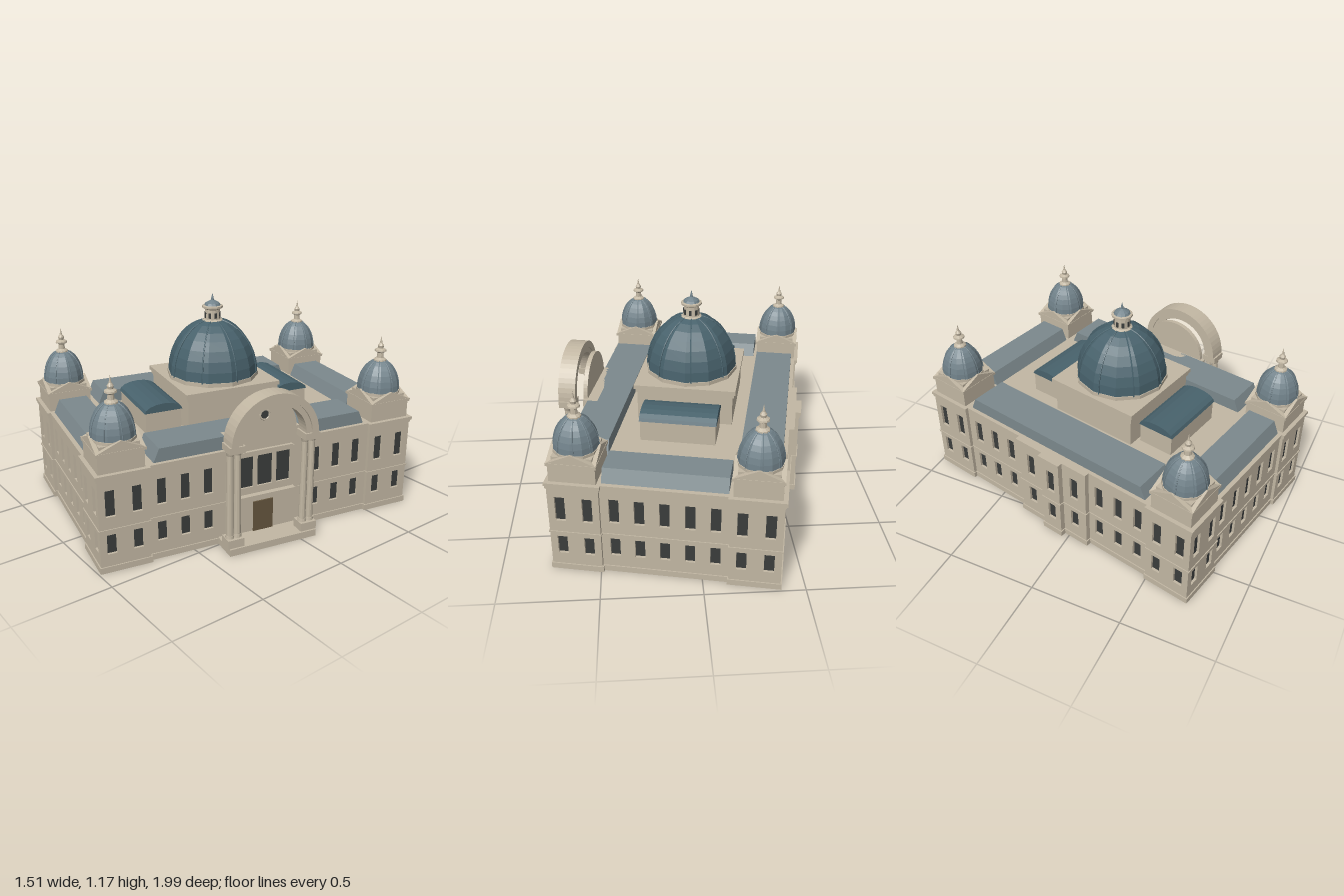
import * as THREE from 'three';

const mat = (color, extra = {}) => new THREE.MeshStandardMaterial({ color, flatShading: true, ...extra });
const stone = mat(0xc2b7a3), slate = mat(0x7c898d), domeGrey = mat(0x71828a);
const domeBlue = mat(0x48626c), glass = mat(0x3a3d3c), wood = mat(0x65563e);

const TOP = 0.515;                                  // height of the main cornice
const ROWS = [[0.097, 0.2], [0.295, 0.433]];        // window rows
const WIN = 0.05, WALL = 0.014, BAY = 0.124;

function add(parent, name, geometry, material, x = 0, y = 0, z = 0) {
  const mesh = new THREE.Mesh(geometry, material);
  mesh.name = name;
  mesh.position.set(x, y, z);
  parent.add(mesh);
  return mesh;
}

function group(parent, name, x = 0, y = 0, z = 0) {
  const g = new THREE.Group();
  g.name = name;
  g.position.set(x, y, z);
  parent.add(g);
  return g;
}

// Box given by half sizes and bottom/top heights
function slab(parent, name, hx, hz, y0, y1, material = stone, x = 0, z = 0) {
  return add(parent, name, new THREE.BoxGeometry(hx * 2, y1 - y0, hz * 2), material, x, (y0 + y1) / 2, z);
}

// Wall plate with window openings
function facade(half, offsets) {
  const s = new THREE.Shape([[-half, 0], [half, 0], [half, TOP - 0.01], [-half, TOP - 0.01]].map(p => new THREE.Vector2(...p)));
  for (const o of offsets) for (const [a, b] of ROWS) {
    const w = WIN / 2;
    s.holes.push(new THREE.Path([[o - w, a], [o - w, b], [o + w, b], [o + w, a]].map(p => new THREE.Vector2(...p))));
  }
  return new THREE.ExtrudeGeometry(s, { depth: WALL, bevelEnabled: false });
}

// Storeyed block: dark core behind pierced walls, with bands; sides run +z, +x, -z, -x
function block(parent, name, x, z, hx, hz, sides) {
  const g = group(parent, name, x, 0, z);
  slab(g, 'windowPanes', hx - WALL, hz - WALL, 0.01, TOP - 0.02, glass);
  sides.forEach((offsets, k) => {
    const across = k % 2 ? hz : hx, out = k % 2 ? hx : hz;
    const pivot = group(g, 'facade');
    pivot.rotation.y = k * Math.PI / 2;
    add(pivot, 'wall', facade(across, offsets), stone, 0, 0, out - WALL);
  });
  for (const [bandName, y0, y1, e] of [['base', 0, 0.032, 0.006], ['stringCourse', 0.222, 0.231, 0.005],
    ['lowerCornice', 0.484, 0.499, 0.005], ['cornice', 0.499, TOP, 0.01]]) {
    slab(g, bandName, hx + e, hz + e, y0, y1);
  }
  return g;
}

// Flat-topped roof whose two z ends slope
function roof(parent, x, z, hx, hz) {
  const m = slab(parent, 'wingRoof', hx, hz, TOP, 0.585, slate, x, z);
  const p = m.geometry.attributes.position;
  for (let i = 0; i < p.count; i++) if (p.getY(i) > 0) p.setZ(i, p.getZ(i) - Math.sign(p.getZ(i)) * 0.03);
  m.geometry.computeVertexNormals();
}

const lathe = (pts, n) => new THREE.LatheGeometry(pts.map(p => new THREE.Vector2(...p)), n);

// Ribbed dome with an elliptical profile
function dome(parent, r, h, material, ribR, y) {
  const pts = [];
  for (let i = 0; i <= 8; i++) {
    const a = i / 8 * Math.PI / 2;
    pts.push([Math.max(r * Math.cos(a), 0.0001), h * Math.sin(a)]);
  }
  add(parent, 'dome', lathe(pts, 12), material, 0, y, 0);
  const curve = new THREE.CatmullRomCurve3(pts.map(p => new THREE.Vector3(p[0] * 0.985, p[1] * 0.995, 0)));
  const ribGeo = new THREE.TubeGeometry(curve, 14, ribR, 5);
  for (let k = 0; k < 8; k++) add(parent, 'domeRib', ribGeo, material, 0, y, 0).rotation.y = k * Math.PI / 4 + 0.13;
}

function cornerTower(parent, sx, sz) {
  const o = [-0.0675, 0.0675];
  const g = block(parent, 'cornerTower', sx * 0.443, sz * 0.757, 0.128, 0.128,
    [sz > 0 ? o : [], sx > 0 ? o : [], sz < 0 ? o : [], sx < 0 ? o : []]);
  slab(g, 'attic', 0.116, 0.116, TOP, 0.61);
  slab(g, 'atticCornice', 0.124, 0.124, 0.605, 0.62);
  slab(g, 'domePlinth', 0.1, 0.1, 0.62, 0.645);
  // Pediment on each side
  const tri = new THREE.Shape([new THREE.Vector2(-0.12, 0), new THREE.Vector2(0.12, 0), new THREE.Vector2(0, 0.052)]);
  const pedGeo = new THREE.ExtrudeGeometry(tri, { depth: 0.022, bevelEnabled: false });
  for (let k = 0; k < 4; k++) {
    const pivot = group(g, 'pedimentSide');
    pivot.rotation.y = k * Math.PI / 2;
    add(pivot, 'pediment', pedGeo, stone, 0, 0.619, 0.1);
  }
  add(g, 'drum', new THREE.CylinderGeometry(0.117, 0.117, 0.045, 12), stone, 0, 0.6375, 0);
  dome(g, 0.113, 0.168, domeGrey, 0.003, 0.658);
  add(g, 'finial', lathe([[0.036, 0.808], [0.034, 0.824], [0.018, 0.834], [0.016, 0.86], [0.032, 0.87], [0.03, 0.878],
    [0.014, 0.886], [0.017, 0.9], [0.007, 0.915], [0.0001, 0.952]], 10), stone);
}

// Arched band or half disc facing +x
function archPiece(parent, name, outer, inner, x, depth, y) {
  const s = new THREE.Shape();
  s.absarc(0, 0, outer, 0, Math.PI, false);
  if (inner) s.absarc(0, 0, inner, Math.PI, 0, true);
  s.closePath();
  const geo = new THREE.ExtrudeGeometry(s, { depth, bevelEnabled: false, curveSegments: 14 });
  add(parent, name, geo, stone, x, y, 0).rotation.y = Math.PI / 2;
}

function portico(parent) {
  const g = group(parent, 'portico', 0, 0, 0.012);
  slab(g, 'platform', 0.09, 0.247, 0, 0.037, stone, 0.606);
  slab(g, 'entranceWall', 0.04, 0.205, 0.01, 0.585, stone, 0.528);
  slab(g, 'door', 0.01, 0.056, 0.037, 0.205, wood, 0.566);
  // Balcony window with three lights
  slab(g, 'balcony', 0.025, 0.165, 0.245, 0.262, stone, 0.588);
  slab(g, 'windowBack', 0.008, 0.155, 0.262, 0.48, glass, 0.566);
  slab(g, 'windowSill', 0.012, 0.16, 0.262, 0.3, stone, 0.572);
  slab(g, 'windowHead', 0.012, 0.16, 0.468, 0.495, stone, 0.572);
  for (const z of [-0.156, -0.054, 0.054, 0.156]) slab(g, 'windowPier', 0.012, 0.011, 0.28, 0.49, stone, 0.572, z);
  // Lunette with a round window
  archPiece(g, 'lunette', 0.185, 0, 0.545, 0.024, 0.584);
  const rim = add(g, 'roundWindowRim', new THREE.TorusGeometry(0.026, 0.005, 6, 18), stone, 0.57, 0.676, 0);
  const pane = add(g, 'roundWindow', new THREE.CircleGeometry(0.026, 18), glass, 0.5705, 0.676, 0);
  rim.rotation.y = pane.rotation.y = Math.PI / 2;
  // Paired columns carrying the free-standing arch
  const shaft = new THREE.CylinderGeometry(0.016, 0.019, 0.46, 12);
  for (const s of [-1, 1]) {
    slab(g, 'pedestal', 0.038, 0.045, 0.037, 0.082, stone, 0.648, s * 0.208);
    for (const z of [0.188, 0.229]) {
      add(g, 'column', shaft, stone, 0.65, 0.312, s * z);
      add(g, 'columnFoot', new THREE.CylinderGeometry(0.021, 0.023, 0.016, 12), stone, 0.65, 0.09, s * z);
      add(g, 'columnCap', new THREE.CylinderGeometry(0.024, 0.017, 0.022, 12), stone, 0.65, 0.542, s * z);
    }
    slab(g, 'impost', 0.044, 0.042, 0.552, 0.587, stone, 0.648, s * 0.208);
  }
  archPiece(g, 'archOuterBand', 0.241, 0.205, 0.6, 0.094, 0.584);
  archPiece(g, 'archInnerBand', 0.206, 0.176, 0.608, 0.076, 0.584);
}

function centralDome(parent) {
  const g = group(parent, 'centralDome', 0, 0, 0.034);
  slab(g, 'plinth', 0.255, 0.255, 0.5, 0.69);
  slab(g, 'plinthCornice', 0.263, 0.263, 0.68, 0.7);
  slab(g, 'plinthTop', 0.271, 0.271, 0.7, 0.722);
  add(g, 'drum', new THREE.CylinderGeometry(0.25, 0.25, 0.03, 12), stone, 0, 0.728, 0);
  dome(g, 0.246, 0.295, domeBlue, 0.004, 0.738);
  add(g, 'lantern', lathe([[0.056, 1.008], [0.056, 1.026], [0.044, 1.032], [0.04, 1.085], [0.056, 1.094], [0.056, 1.104],
    [0.04, 1.108]], 12), stone);
  for (let k = 0; k < 8; k++) {
    const pivot = group(g, 'lanternSide');
    pivot.rotation.y = k * Math.PI / 4;
    slab(pivot, 'lanternWindow', 0.007, 0.003, 1.04, 1.068, glass, 0, 0.041);
  }
  add(g, 'lanternCap', lathe([[0.046, 1.104], [0.038, 1.118], [0.02, 1.128], [0.008, 1.134], [0.006, 1.148], [0.0001, 1.17]], 12), domeGrey);
}

// Barrel-roofed skylight with its ridge along x
function skylight(parent, z) {
  const g = group(parent, 'skylight', 0.003, 0, z);
  slab(g, 'skylightWall', 0.196, 0.098, 0.5, 0.628);
  const s = new THREE.Shape();
  s.absellipse(0, 0, 0.104, 0.045, 0, Math.PI, false);
  s.closePath();
  const geo = new THREE.ExtrudeGeometry(s, { depth: 0.4, bevelEnabled: false, curveSegments: 4 });
  add(g, 'skylightVault', geo, domeBlue, -0.2, 0.627, 0).rotation.y = Math.PI / 2;
}

export function createModel() {
  const model = new THREE.Group();
  model.name = 'domedBuilding';
  const b = group(model, 'building');
  b.rotation.y = -THREE.MathUtils.degToRad(12);

  // Main body; the long sides leave out the windows behind the centre bays
  const short = [-2, -1, 0, 1, 2].map(i => i * BAY);
  const long = [2.5, 3.5, 4.5].flatMap(i => [-i * BAY, i * BAY]);
  block(b, 'mainBody', 0, 0, 0.552, 0.868, [short, long, short, long]);

  for (const sx of [-1, 1]) for (const sz of [-1, 1]) cornerTower(b, sx, sz);

  // Stepped centre bays on the left side of the plan
  block(b, 'wideBay', -0.5, 0.015, 0.08, 0.23, [[], [], [], [-0.15, 0.15]]);
  block(b, 'narrowBay', -0.53, 0.03, 0.08, 0.06, [[], [], [], [0]]);

  // Wing roofs
  for (const s of [-1, 1]) {
    roof(b, s * 0.436, -0.004, 0.105, 0.597);
    roof(b, 0, s * 0.748, 0.306, 0.107);
  }

  centralDome(b);
  skylight(b, -0.343);
  skylight(b, 0.405);
  portico(b);
  return model;
}
